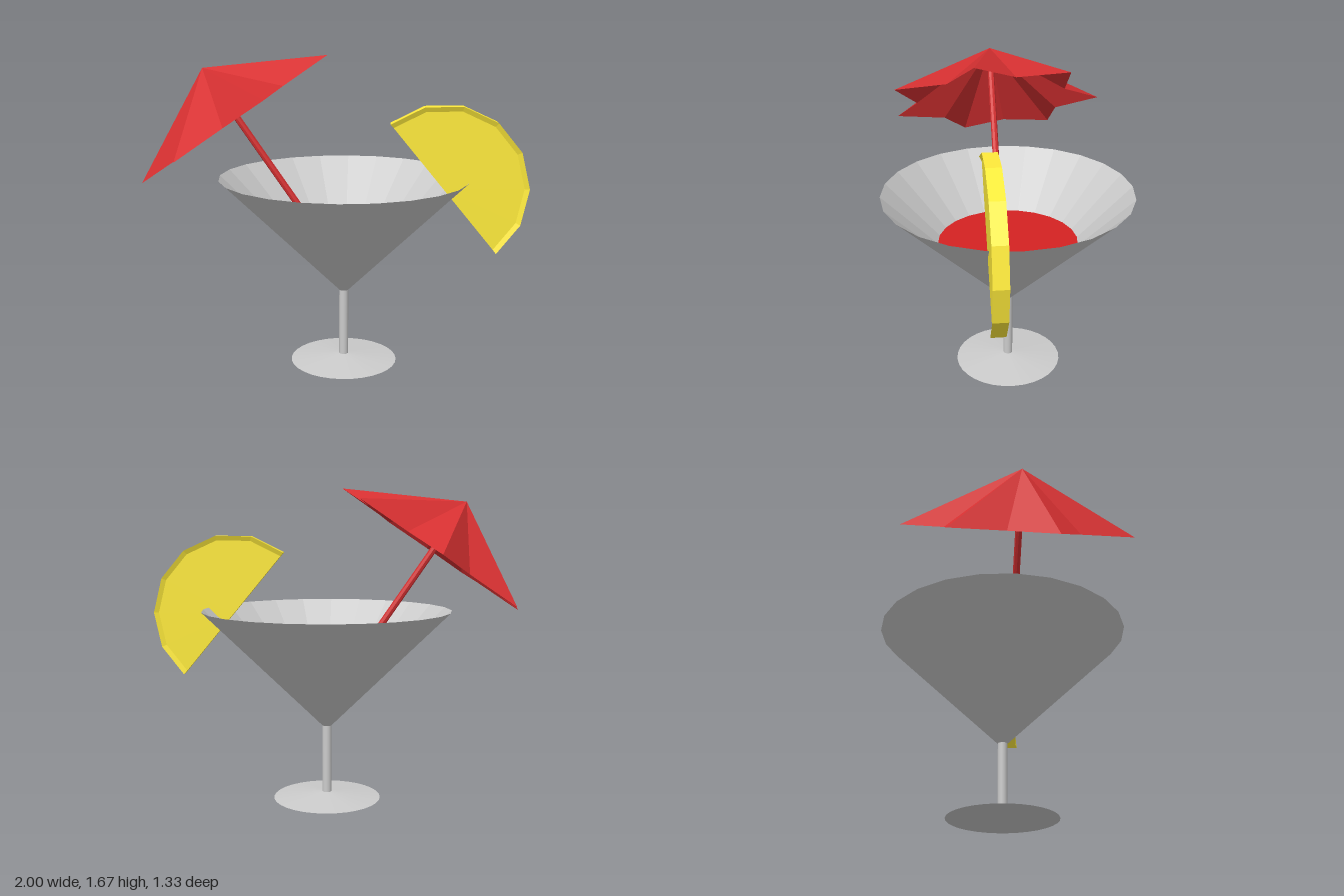
import * as THREE from 'three';

const RAD = Math.PI / 180;
const material = (color, side = THREE.FrontSide, flatShading = true) =>
  new THREE.MeshStandardMaterial({ color, side, flatShading });

function part(name, geometry, mat, x = 0, y = 0, z = 0) {
  const mesh = new THREE.Mesh(geometry, mat);
  mesh.name = name;
  mesh.position.set(x, y, z);
  return mesh;
}

// Seven-pointed canopy: a shallow cone whose rim alternates between tips and valleys
function canopyGeometry(points, tipRadius, valleyRadius, height) {
  const n = points * 2;
  const rim = i => {
    const a = (270 + (i * 360) / n) * RAD;
    const r = i % 2 ? valleyRadius : tipRadius;
    return [r * Math.cos(a), 0, r * Math.sin(a)];
  };
  const positions = [];
  for (let i = 0; i < n; i++) positions.push(0, height, 0, ...rim(i + 1), ...rim(i));
  const geometry = new THREE.BufferGeometry();
  geometry.setAttribute('position', new THREE.Float32BufferAttribute(positions, 3));
  geometry.computeVertexNormals();
  return geometry;
}

// Martini glass with its drink
function createGlass() {
  const glass = new THREE.Group();
  glass.name = 'glass';
  glass.position.x = 0.045;
  const grey = material(0xcccccc);
  const smoothGrey = material(0xcccccc, THREE.FrontSide, false);
  glass.add(
    part('base', new THREE.CylinderGeometry(0.025, 0.29, 0.03, 32), grey, 0, 0.015),
    part('stem', new THREE.CylinderGeometry(0.025, 0.025, 0.38, 16), smoothGrey, 0, 0.21),
    part('bowl', new THREE.CylinderGeometry(0.665, 0.025, 0.63, 24, 1, true),
      material(0xcccccc, THREE.DoubleSide), 0, 0.715),
    part('drink', new THREE.CircleGeometry(0.375, 24).rotateX(-Math.PI / 2),
      material(0xd52222, THREE.DoubleSide), 0, 0.745)
  );
  return glass;
}

// Paper umbrella leaning on the rim; its origin is the centre of the canopy rim
function createUmbrella() {
  const umbrella = new THREE.Group();
  umbrella.name = 'umbrella';
  umbrella.position.set(-0.516, 1.345, 0.028);
  umbrella.rotation.z = 34.3 * RAD;
  const red = material(0xd63031, THREE.DoubleSide);
  umbrella.add(
    part('canopy', canopyGeometry(7, 0.6, 0.425, 0.309), red),
    part('umbrellaStick', new THREE.CylinderGeometry(0.018, 0.018, 1.04, 8), red, 0, -0.235)
  );
  return umbrella;
}

// Half slice of lemon with a raised rind, pushed over the rim
function createLemon() {
  const lemon = new THREE.Group();
  lemon.name = 'lemonSlice';
  lemon.position.set(0.5625, 0.995, 0.1275);
  const outer = 0.435, inner = 0.41, rind = 0.0375, flesh = 0.026;
  const profile = [
    [0, -flesh], [inner, -flesh], [outer, -rind],
    [outer, rind], [inner, flesh], [0, flesh],
  ].map(([r, y]) => new THREE.Vector2(r, y));
  const start = -50.4;
  const body = new THREE.LatheGeometry(profile, 7, (start + 90) * RAD, Math.PI).rotateX(Math.PI / 2);

  // Flat cut through the middle, the profile mirrored
  const mirrored = profile.slice(1, -1).reverse().map(p => new THREE.Vector2(-p.x, p.y));
  const cut = new THREE.ShapeGeometry(new THREE.Shape([...profile.slice(1, -1), ...mirrored]))
    .rotateX(Math.PI / 2).rotateZ((start + 180) * RAD);

  const yellow = material(0xffeb3b, THREE.DoubleSide);
  lemon.add(part('lemonBody', body, yellow), part('lemonCut', cut, yellow));
  return lemon;
}

export function createModel() {
  const model = new THREE.Group();
  model.name = 'cocktail';
  model.add(createGlass(), createUmbrella(), createLemon());
  return model;
}
